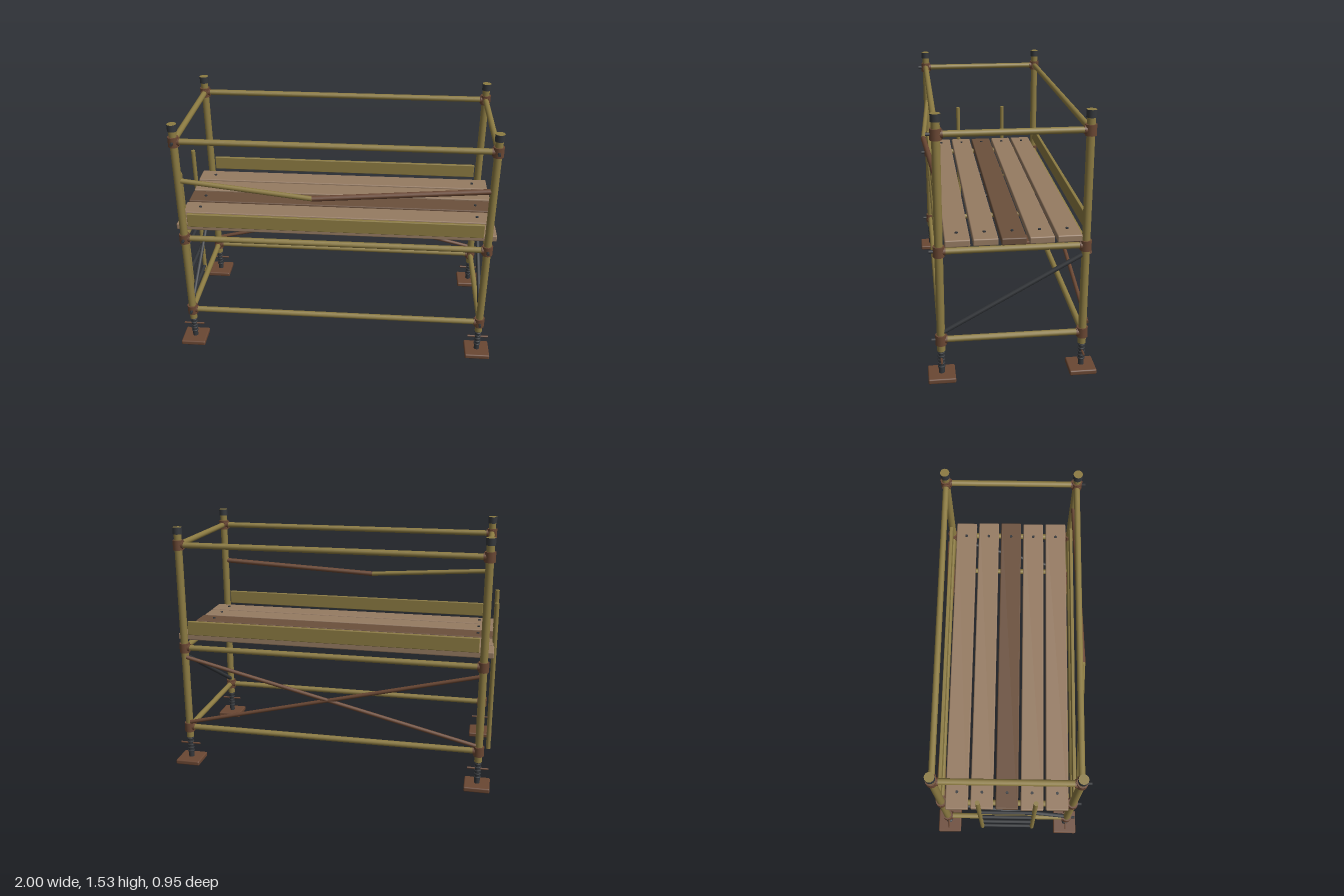
import * as THREE from 'three';
import { RoundedBoxGeometry } from 'three/addons/geometries/RoundedBoxGeometry.js';

const mat = (name, color) => {
  const m = new THREE.MeshStandardMaterial({ color });
  m.name = name;
  return m;
};

export function createModel() {
  const brass = mat('olive brass', 0x8c7b42);
  const timber = mat('pale timber', 0x967b62);
  const darkTimber = mat('dark timber', 0x6b503c);
  const rust = mat('rust brown', 0x6a4733);
  const steel = mat('dark steel', 0x34373b);

  const model = new THREE.Group();
  model.name = 'scaffold';
  const X = 0.92, Z = 0.4;
  const levels = [0.24, 0.775, 1.422];
  const UP = new THREE.Vector3(0, 1, 0);

  const add = (name, geometry, material, pos, parent = model) => {
    const mesh = new THREE.Mesh(geometry, material);
    mesh.name = name;
    mesh.position.set(...pos);
    parent.add(mesh);
    return mesh;
  };
  // Round bar between two points
  const rod = (name, a, b, r, material, parent = model, sides = 12) => {
    const A = new THREE.Vector3(...a), B = new THREE.Vector3(...b);
    const d = B.clone().sub(A);
    const mid = A.clone().add(B).multiplyScalar(0.5);
    const mesh = add(name, new THREE.CylinderGeometry(r, r, d.length(), sides), material, mid.toArray(), parent);
    mesh.quaternion.setFromUnitVectors(UP, d.normalize());
    return mesh;
  };
  const block = (name, w, h, d, bevel, material, pos, parent) =>
    add(name, new RoundedBoxGeometry(w, h, d, 2, bevel), material, pos, parent);

  // Corner posts with caps, couplers and screw jacks
  for (const sx of [-1, 1]) for (const sz of [-1, 1]) {
    const corner = new THREE.Group();
    corner.name = 'cornerPost';
    corner.position.set(sx * X, 0, sz * Z);
    model.add(corner);
    rod('post', [0, 0.17, 0], [0, 1.5, 0], 0.023, brass, corner, 16);
    add('postCap', new THREE.CylinderGeometry(0.028, 0.028, 0.042, 16), [steel, brass, steel], [0, 1.509, 0], corner);

    for (const y of levels) {
      rod('coupler', [0, y - 0.03, 0], [0, y + 0.03, 0], 0.032, rust, corner, 12);
      rod('couplerSleeveX', [0, y, 0], [-sx * 0.036, y, 0], 0.024, rust, corner);
      rod('couplerSleeveZ', [0, y, 0], [0, y, -sz * 0.036], 0.024, rust, corner);
      if (sz > 0) rod('couplerBolt', [0, y, 0.02], [0, y, 0.053], 0.009, steel, corner, 6);
    }

    block('basePlate', 0.155, 0.03, 0.155, 0.008, rust, [0, 0.015, 0], corner);
    rod('jackScrew', [0, 0.025, 0], [0, 0.19, 0], 0.017, steel, corner);
    for (let i = 0; i < 5; i++) {
      const thread = add('jackThread', new THREE.TorusGeometry(0.017, 0.005, 6, 14), steel, [0, 0.07 + i * 0.022, 0], corner);
      thread.rotation.x = Math.PI / 2;
    }
    rod('jackHandle', [-0.064, 0.125, 0], [0.064, 0.125, 0], 0.006, rust, corner, 8);
  }

  // Horizontal rails on all four sides
  for (const y of levels) for (const s of [-1, 1]) {
    rod('longRail', [-X, y, s * Z], [X, y, s * Z], 0.018, brass);
    rod('shortRail', [s * X, y, -Z], [s * X, y, Z], 0.018, brass);
  }

  // Bent guard rail on the front
  const bend = [-0.125, 1.107, 0.447];
  rod('bentGuardRailLeft', [-0.91, 1.17, 0.4], bend, 0.015, brass);
  rod('bentGuardRailRight', bend, [0.91, 1.17, 0.4], 0.0165, rust);

  // Cross brace on the back and diagonals on the ends
  for (const s of [-1, 1]) {
    rod('crossBrace', [-s * 0.9, 0.285, -0.429], [s * 0.9, 0.722, -0.429], 0.012, rust);
    rod('endDiagonal', [s * X, 0.285, 0.385], [s * X, 0.72, -0.385], 0.013, steel);
  }

  // Toe boards
  for (const s of [-1, 1])
    block('toeBoard', 1.78, 0.087, 0.02, 0.004, brass, [0, 0.905, s * 0.4]);

  // Deck planks with a bolt at each end
  const shifts = [-0.002, 0.002, 0.003, -0.002, 0.001];
  for (let i = 0; i < 5; i++) {
    const z = (i - 2) * 0.151;
    block('plank', 1.945, 0.04, 0.136, 0.007, i === 2 ? darkTimber : timber, [shifts[i], 0.836, z]);
    for (const s of [-1, 1])
      rod('plankBolt', [s * 0.872, 0.845, z], [s * 0.872, 0.862, z], 0.009, steel, model, 8);
  }

  // Ladder on the right end
  const ladder = new THREE.Group();
  ladder.name = 'ladder';
  ladder.position.x = -0.976;
  model.add(ladder);
  for (const s of [-1, 1])
    rod('ladderStile', [0, 0.155, s * 0.167], [0, 1.1, s * 0.167], 0.014, brass, ladder);
  for (let i = 0; i < 4; i++) {
    const y = 0.2 + i * 0.185;
    rod('ladderRung', [0, y, -0.165], [0, y, 0.165], 0.011, steel, ladder, 10);
  }
  return model;
}
